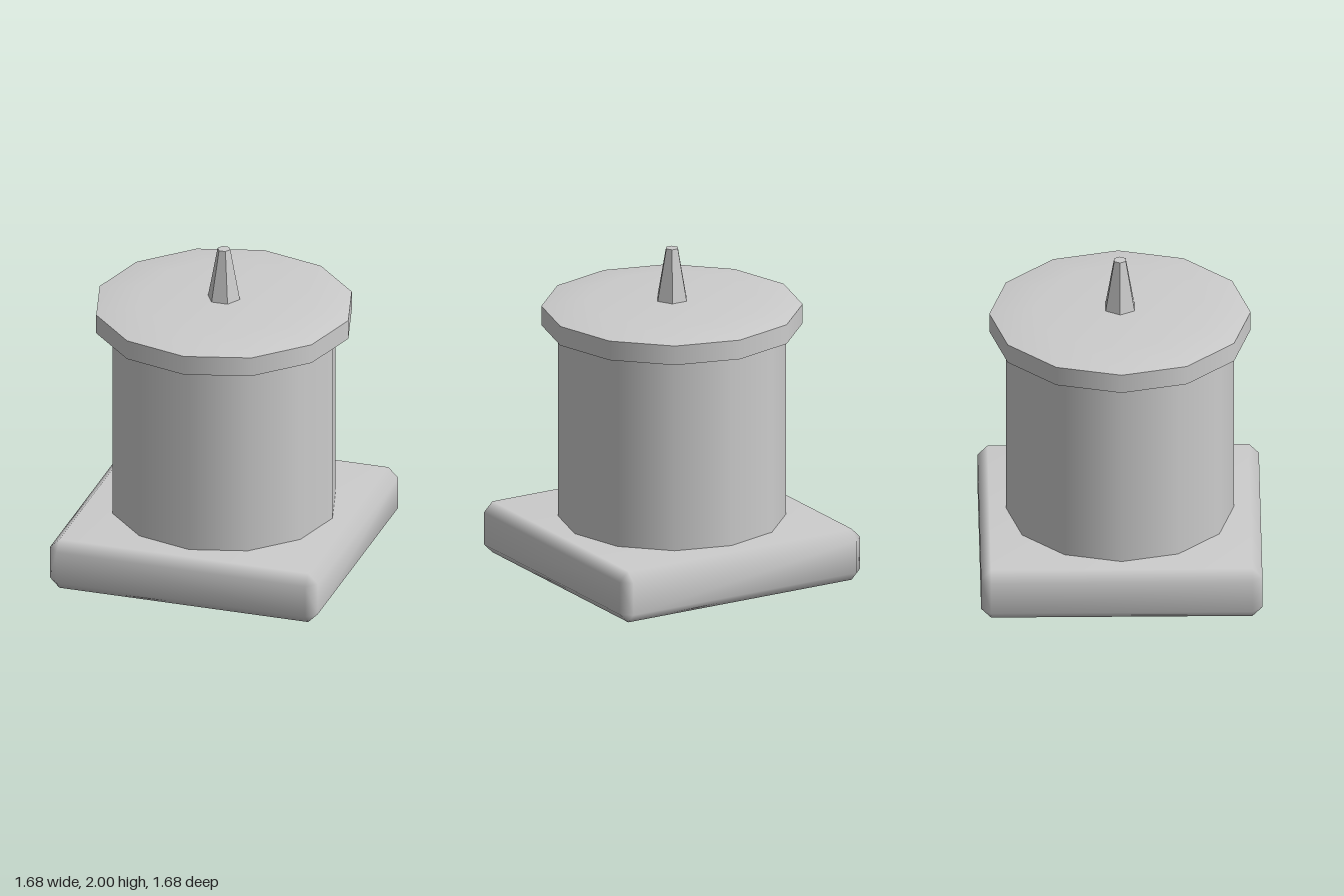
import * as THREE from 'three';
import { mergeVertices } from 'three/addons/utils/BufferGeometryUtils.js';
import { ConvexGeometry } from 'three/addons/geometries/ConvexGeometry.js';

// Box with all edges chamfered by c, standing on y = 0, with smooth normals
function chamferedBox(half, height, c) {
  const inner = half - c;
  const points = [];
  for (const sx of [-1, 1]) for (const sz of [-1, 1]) {
    for (const y of [0, height]) points.push(new THREE.Vector3(sx * inner, y, sz * inner));
    for (const y of [c, height - c]) {
      points.push(new THREE.Vector3(sx * half, y, sz * inner));
      points.push(new THREE.Vector3(sx * inner, y, sz * half));
    }
  }
  const raw = new ConvexGeometry(points);
  raw.deleteAttribute('normal');
  const geometry = mergeVertices(raw, 1e-4);
  geometry.computeVertexNormals();
  return geometry;
}

export function createModel() {
  const model = new THREE.Group();
  const stone = new THREE.MeshStandardMaterial({ color: 0xcccccc });
  stone.name = 'light grey';
  const add = (name, geometry, y = 0, parent = model) => {
    const mesh = new THREE.Mesh(geometry, stone);
    mesh.name = name;
    mesh.position.y = y;
    parent.add(mesh);
    return mesh;
  };

  // Square plinth and twelve-sided drum
  add('base', chamferedBox(0.84, 0.32, 0.06));
  add('body', new THREE.CylinderGeometry(0.68, 0.68, 1.2, 12, 1, true), 0.92);

  // Lid: rim, underside and shallow sloped top
  const lid = new THREE.Group();
  lid.name = 'lid';
  model.add(lid);
  add('lidRim', new THREE.CylinderGeometry(0.78, 0.78, 0.12, 12, 1, true), 1.58, lid);
  add('lidUnderside', new THREE.CircleGeometry(0.78, 12).rotateX(Math.PI / 2), 1.52, lid);
  const profile = [[0.78, 1.64], [0.52, 1.68], [0, 1.68]].map(([r, y]) => new THREE.Vector2(r, y));
  add('lidTop', new THREE.LatheGeometry(profile, 12), 0, lid);

  // Tapered six-sided spike, faceted
  const spike = new THREE.CylinderGeometry(0.04, 0.1, 0.32, 6).rotateY(Math.PI / 6).toNonIndexed();
  spike.computeVertexNormals();
  add('spike', spike, 1.84);

  return model;
}
